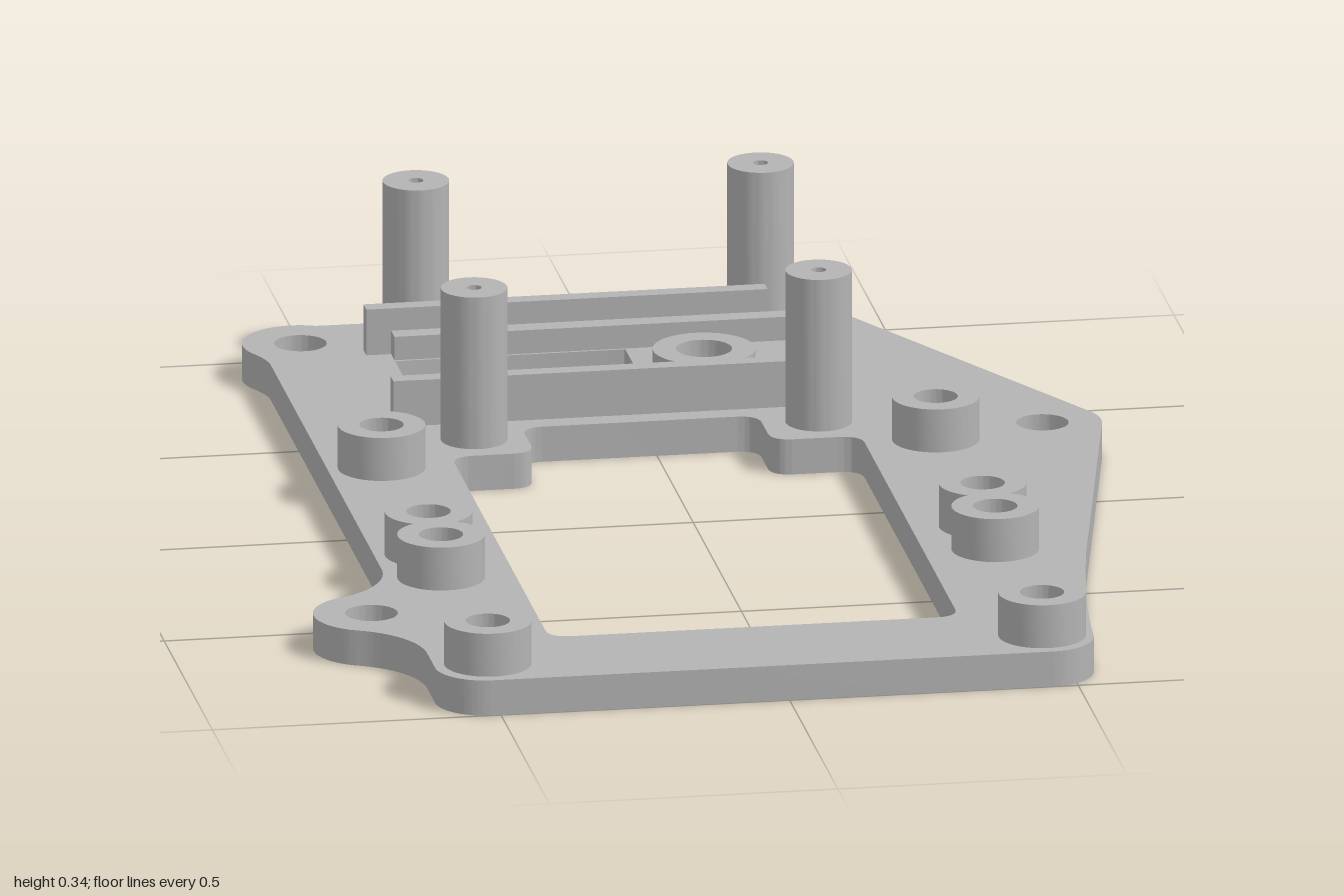
import * as THREE from 'three';
import { toCreasedNormals } from 'three/addons/utils/BufferGeometryUtils.js';

const T = 0.063; // plate thickness
const rad = THREE.MathUtils.degToRad;

// Shapes are drawn in plan with (x, -z), then stood up along y.
function extrudeUp(shape, y0, y1) {
  const g = new THREE.ExtrudeGeometry(shape, { depth: y1 - y0, bevelEnabled: false, curveSegments: 24 });
  g.rotateX(-Math.PI / 2).translate(0, y0, 0);
  return toCreasedNormals(g, rad(35));
}

function arc(path, x, y, r, a0, a1, clockwise = false) {
  path.absarc(x, y, r, rad(a0), rad(a1), clockwise);
}

function circle(x, z, r, Type = THREE.Path) {
  const p = new Type();
  arc(p, x, -z, r, 0, 360);
  return p;
}

// Polygon with every corner rounded
function roundedPath(points, r) {
  const p = new THREE.Path();
  const v = points.map(([x, y]) => new THREE.Vector2(x, y));
  v.forEach((c, i) => {
    const prev = v[(i + v.length - 1) % v.length], next = v[(i + 1) % v.length];
    const a = c.clone().add(prev.clone().sub(c).setLength(r));
    const b = c.clone().add(next.clone().sub(c).setLength(r));
    if (i === 0) p.moveTo(a.x, a.y); else p.lineTo(a.x, a.y);
    p.quadraticCurveTo(c.x, c.y, b.x, b.y);
  });
  p.closePath();
  return p;
}

export function createModel() {
  const model = new THREE.Group();
  model.name = 'mountingPlate';
  const grey = new THREE.MeshStandardMaterial({ color: 0xb3b3b3 });
  grey.name = 'grey plastic';
  const add = (name, geometry) => {
    const m = new THREE.Mesh(geometry, grey);
    m.name = name;
    model.add(m);
  };

  const bosses = [];
  for (const x of [-0.507, 0.453]) for (const z of [-0.197, 0.29, 0.42, 0.905]) bosses.push([x, z]);
  const posts = [];
  for (const x of [-0.325, 0.272]) for (const z of [-0.93, -0.327]) posts.push([x, z]);
  const ears = [[-0.53, -0.9], [0.648, -0.258], [-0.657, 0.597]];
  const ring = [0.124, -0.63];

  // Base plate outline, counterclockwise from the front left corner
  const plate = new THREE.Shape();
  plate.moveTo(-0.515, -1);
  arc(plate, 0.455, -0.915, 0.085, -90, -4);
  plate.quadraticCurveTo(0.55, -0.76, 0.602, -0.47);
  arc(plate, 0.648, 0.258, 0.102, -11, 28);
  arc(plate, 0.31, 0.89, 0.1, 28, 90);
  plate.lineTo(-0.45, 0.99);
  arc(plate, -0.53, 0.9, 0.1, 65, 205);
  plate.quadraticCurveTo(-0.6, 0.82, -0.6, 0.79);
  arc(plate, -0.757, -0.36, 0.157, 0, -67.1, true);
  arc(plate, -0.657, -0.597, 0.1, 112.9, 247.1);
  arc(plate, -0.757, -0.834, 0.157, 67.1, 0, true);
  arc(plate, -0.515, -0.915, 0.085, 180, 270);

  // Large stepped opening and the rectangular window
  plate.holes.push(
    roundedPath([[-0.38, -0.78], [0.33, -0.78], [0.33, 0.235], [0.175, 0.235],
      [0.175, 0.375], [-0.235, 0.375], [-0.235, 0.235], [-0.38, 0.235]], 0.04),
    roundedPath([[-0.387, 0.485], [0.012, 0.485], [0.012, 0.775], [-0.387, 0.775]], 0.003),
  );
  // Screw holes through the plate
  for (const [x, z] of ears) plate.holes.push(circle(x, z, 0.045));
  for (const [x, z] of bosses) plate.holes.push(circle(x, z, 0.038));
  for (const [x, z] of posts) plate.holes.push(circle(x, z, 0.013));
  plate.holes.push(circle(...ring, 0.083));
  add('basePlate', extrudeUp(plate, 0, T));

  // Hollow cylinders standing on the plate
  const tube = (name, [x, z], r, hole, y0, y1) => {
    const s = circle(x, z, r, THREE.Shape);
    s.holes.push(circle(x, z, hole));
    add(name, extrudeUp(s, y0, y1));
  };
  bosses.forEach((p) => tube('screwBoss', p, 0.075, 0.038, T, 0.14));
  posts.forEach((p) => tube('standoffPost', p, 0.057, 0.013, T, 0.335));
  // Ring over a counterbore that is open underneath
  tube('ringBoss', ring, 0.088, 0.048, T, 0.105);
  tube('counterboreFloor', ring, 0.083, 0.048, 0.05, T);

  // Stepped rails on both sides of the window
  const rail = (name, x0, x1, z0, z1, top) => {
    const g = new THREE.BoxGeometry(x1 - x0, top - T, z1 - z0);
    add(name, g.translate((x0 + x1) / 2, (top + T) / 2, (z0 + z1) / 2));
  };
  rail('rearTallRail', -0.43, 0.265, -0.845, -0.815, 0.145);
  rail('rearLowRail', -0.387, 0.302, -0.815, -0.78, 0.105);
  rail('frontLowRail', -0.387, 0.302, -0.48, -0.445, 0.105);
  rail('frontTallRail', -0.45, 0.265, -0.445, -0.415, 0.145);

  return model;
}
